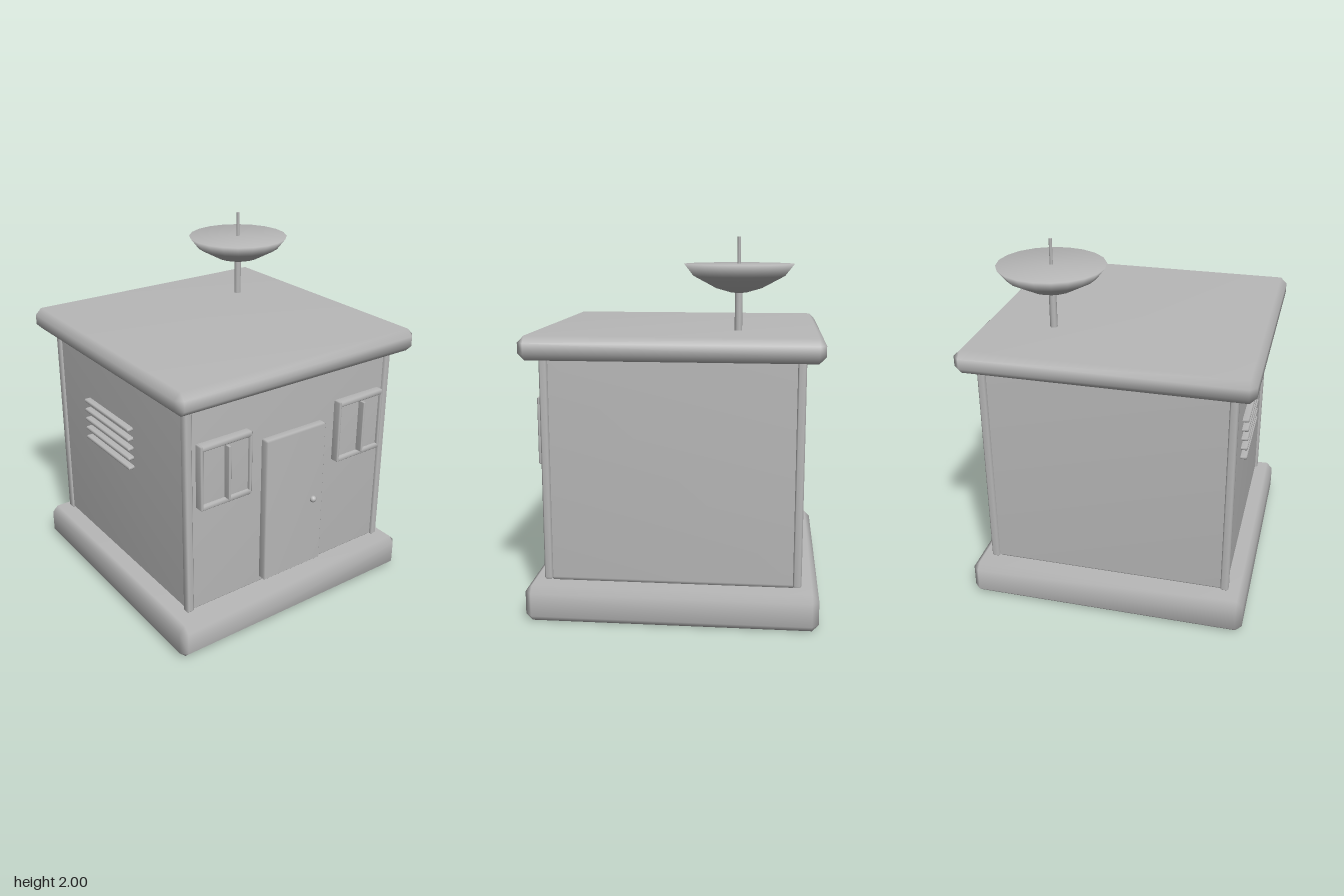
import * as THREE from 'three';

const grey = new THREE.MeshStandardMaterial({ color: 0xb8b8b8 });
grey.name = 'plain grey';

// Box with one bevel step and shared, smooth normals; given by its min and max corners
function bevelBox(min, max, bevel) {
  const size = new THREE.Vector3(...max).sub(new THREE.Vector3(...min)).multiplyScalar(0.5);
  const mid = new THREE.Vector3(...min).add(size);
  const half = size.toArray();
  const pts = [], index = [];
  const id = (s, axis) => ((s[0] > 0 ? 4 : 0) + (s[1] > 0 ? 2 : 0) + (s[2] > 0 ? 1 : 0)) * 3 + axis;
  for (let i = 0; i < 8; i++) {
    const s = [i & 4 ? 1 : -1, i & 2 ? 1 : -1, i & 1 ? 1 : -1];
    for (let a = 0; a < 3; a++) {
      pts.push(new THREE.Vector3(...s.map((v, k) => v * (half[k] - (k === a ? 0 : bevel)))));
    }
  }
  // Adds a polygon, turned so that it faces outward
  const face = (ids) => {
    const [a, b, c] = ids.map((i) => pts[i]);
    const n = b.clone().sub(a).cross(c.clone().sub(a));
    const centre = ids.reduce((sum, i) => sum.add(pts[i]), new THREE.Vector3());
    if (n.dot(centre) < 0) ids.reverse();
    for (let i = 1; i < ids.length - 1; i++) index.push(ids[0], ids[i], ids[i + 1]);
  };
  const signs = [-1, 1];
  for (let a = 0; a < 3; a++) {
    const b = (a + 1) % 3, c = (a + 2) % 3;
    const at = (u, v, w) => { const s = []; s[a] = u; s[b] = v; s[c] = w; return s; };
    for (const u of signs) {
      face([[-1, -1], [1, -1], [1, 1], [-1, 1]].map(([v, w]) => id(at(u, v, w), a)));
      for (const v of signs) {
        face([id(at(u, v, -1), a), id(at(u, v, 1), a), id(at(u, v, 1), b), id(at(u, v, -1), b)]);
      }
    }
  }
  for (let i = 0; i < 8; i++) face([i * 3, i * 3 + 1, i * 3 + 2]);
  const g = new THREE.BufferGeometry().setFromPoints(pts);
  g.setIndex(index);
  g.computeVertexNormals();
  return g.translate(mid.x, mid.y, mid.z);
}

function add(group, name, geometry) {
  const mesh = new THREE.Mesh(geometry, grey);
  mesh.name = name;
  group.add(mesh);
  return mesh;
}

function makeWindow(cx) {
  const win = new THREE.Group();
  win.name = 'window';
  const bar = (name, x0, x1, y0, y1, z0, z1, b) =>
    add(win, name, bevelBox([cx + x0, y0, z0], [cx + x1, y1, z1], b));
  for (const s of [-1, 1]) {
    bar('frameSide', Math.min(s * 0.16, s * 0.14), Math.max(s * 0.16, s * 0.14), 0.82, 1.18, 0.65, 0.71, 0.006);
    const y = 1 + s * 0.165;
    bar('frameRail', -0.155, 0.155, y - 0.015, y + 0.015, 0.65, 0.71, 0.006);
  }
  bar('pane', -0.145, 0.145, 0.84, 1.16, 0.65, 0.695, 0.004);
  bar('mullion', -0.008, 0.008, 0.85, 1.15, 0.68, 0.735, 0.003);
  return win;
}

export function createModel() {
  const model = new THREE.Group();
  model.name = 'hut';

  // Slabs and walls
  add(model, 'base', bevelBox([-0.77, 0, -0.77], [0.77, 0.195, 0.77], 0.035));
  add(model, 'walls', bevelBox([-0.665, 0.19, -0.665], [0.665, 1.41, 0.665], 0.03));
  add(model, 'roof', bevelBox([-0.77, 1.39, -0.77], [0.77, 1.515, 0.77], 0.035));

  // Corner posts
  for (const x of [-0.657, 0.657]) {
    for (const z of [-0.657, 0.657]) {
      add(model, 'cornerPost', bevelBox([x - 0.022, 0.21, z - 0.022], [x + 0.022, 1.395, z + 0.022], 0.008));
    }
  }

  // Door and knob
  add(model, 'door', bevelBox([-0.2, 0.24, 0.65], [0.2, 1.09, 0.71], 0.008));
  add(model, 'doorKnob', new THREE.SphereGeometry(0.019, 12, 8)).position.set(0.125, 0.65, 0.716);

  // Windows
  for (const s of [-1, 1]) model.add(makeWindow(s * 0.45));

  // Vent slats on the right wall
  for (let i = 0; i < 5; i++) {
    const y = 0.845 + i * 0.057;
    add(model, 'ventSlat', bevelBox([-0.7, y - 0.01, -0.325], [-0.65, y + 0.01, 0.155], 0.005));
  }

  // Dish with its post and aerial
  const dish = new THREE.Group();
  dish.name = 'dish';
  dish.position.set(0.37, 0, -0.325);
  const profile = [[0, 1.71], [0.042, 1.714], [0.122, 1.737], [0.24, 1.8], [0.289, 1.862], [0, 1.862]];
  add(dish, 'bowl', new THREE.LatheGeometry(profile.map((p) => new THREE.Vector2(...p)), 20));
  add(dish, 'post', new THREE.CylinderGeometry(0.02, 0.02, 0.23, 10)).position.y = 1.615;
  add(dish, 'aerial', new THREE.CylinderGeometry(0.009, 0.009, 0.16, 8)).position.y = 1.92;
  model.add(dish);

  return model;
}
